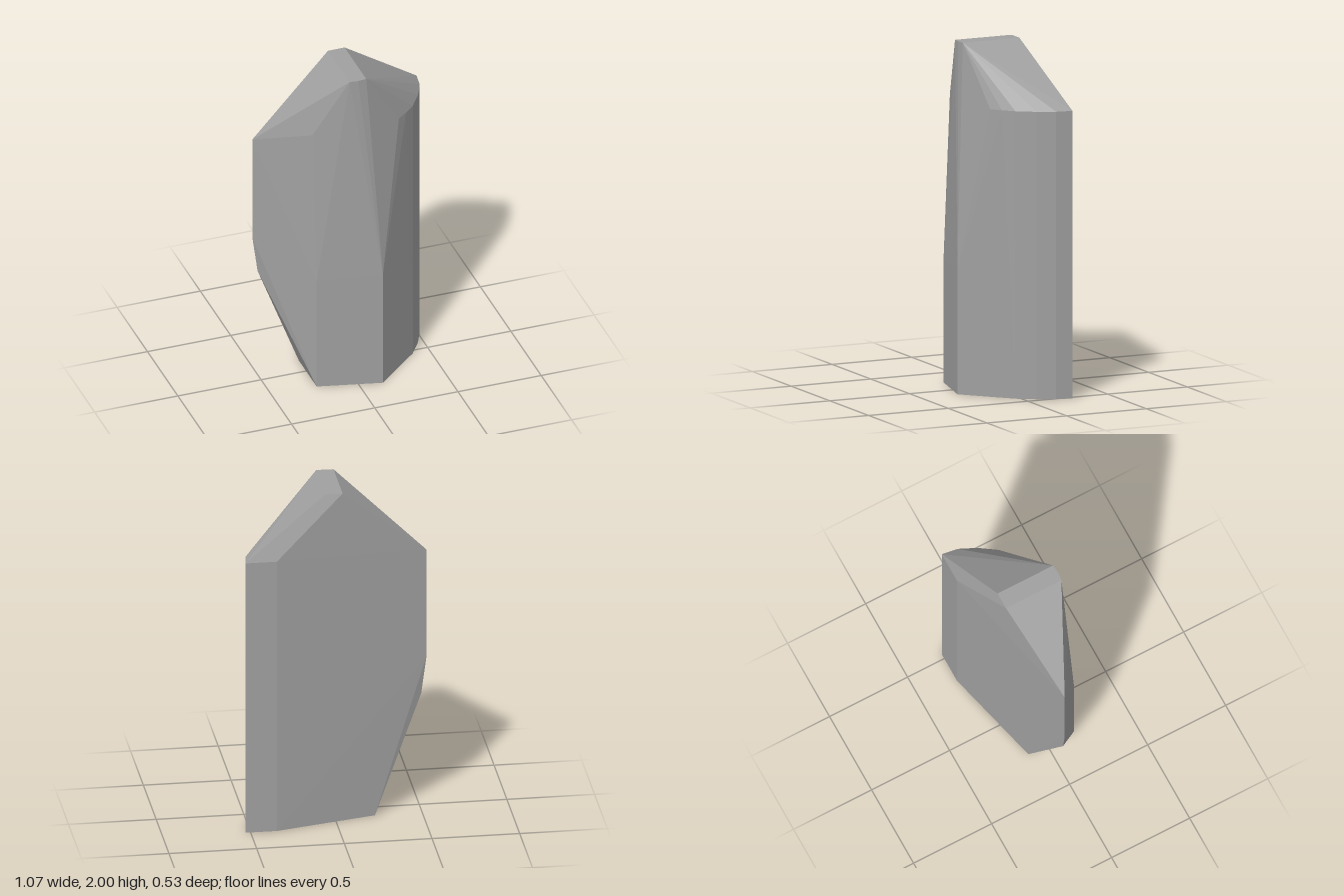
import * as THREE from 'three';
import { ConvexGeometry } from 'three/addons/geometries/ConvexGeometry.js';

export function createModel() {
  const group = new THREE.Group();
  group.name = 'rock';
  const stone = new THREE.MeshStandardMaterial({ color: 0xa0a0a0 });
  stone.name = 'stone grey';

  const corners = [
    // flat ridge on top
    [-0.04, 2, 0.195], [0.01, 2, 0.2], [0.06, 2, 0.195], [-0.04, 2, -0.16], [0.06, 2, -0.16],
    // pointed flank
    [-0.535, 1.58, -0.05], [-0.535, 0.93, -0.05], [-0.505, 0.7, -0.045],
    // front face
    [-0.24, 1.65, 0.13], [-0.23, 0.7, 0.175], [-0.23, 0, 0.175],
    [0.135, 0.72, 0.265], [0.135, 0, 0.265],
    // shoulder under the ridge and undercut foot
    [0.28, 1.65, 0.13], [0.34, 1.65, 0.085], [-0.23, 0, -0.12],
  ];
  // rounded side and narrow back strip, straight from base to shoulder
  const side = [[0.4, 0.03], [0.468, -0.07], [0.515, -0.17], [0.53, -0.265], [0.35, -0.265]];
  for (const [x, z] of side) corners.push([x, 0, z], [x, 1.65, z]);

  const geometry = new ConvexGeometry(corners.map((p) => new THREE.Vector3(...p)));
  const body = new THREE.Mesh(geometry, stone);
  body.name = 'stoneBody';
  group.add(body);
  return group;
}
